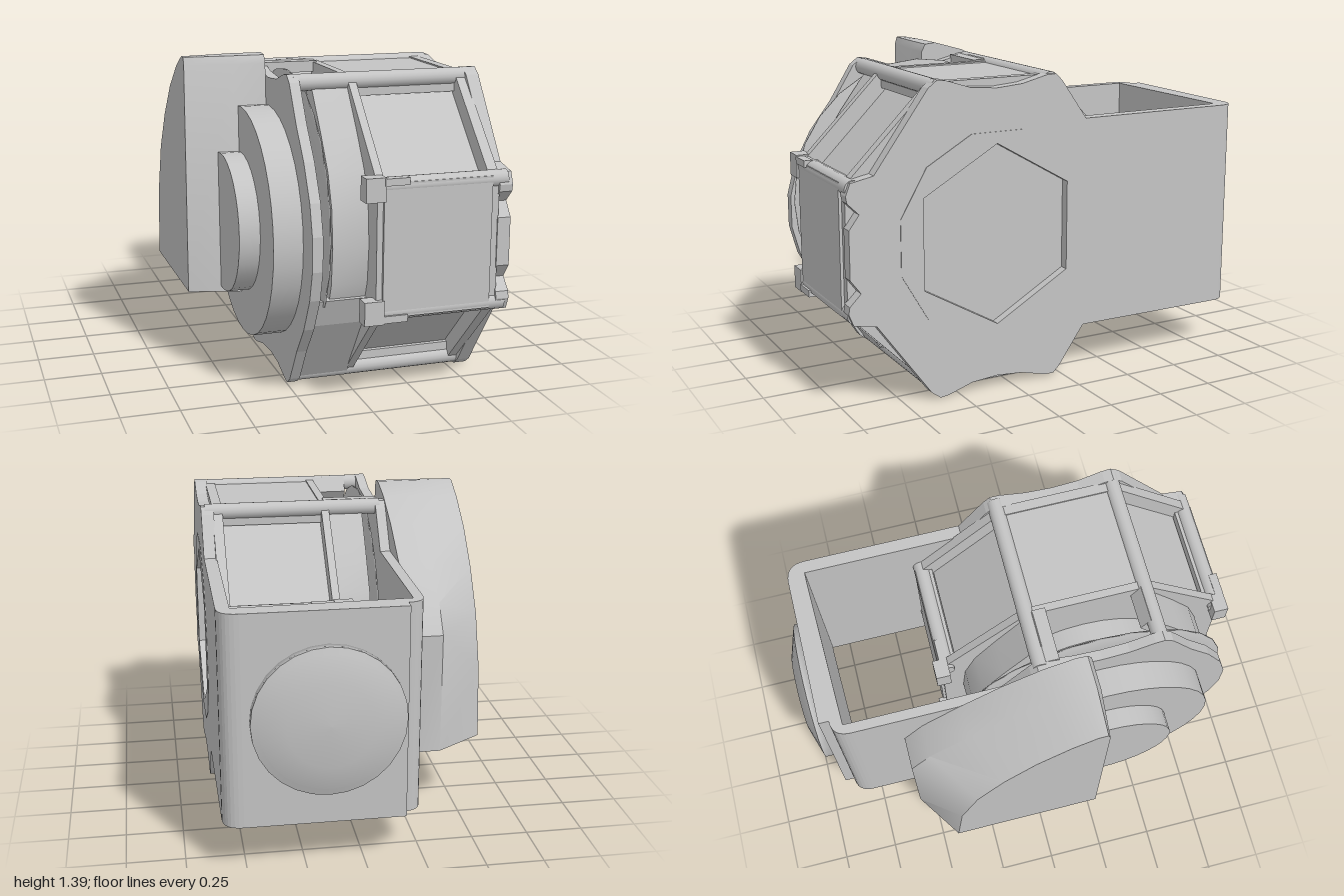
import * as THREE from 'three';
import { toCreasedNormals } from 'three/addons/utils/BufferGeometryUtils.js';

const CY = 0.675, CZ = 0.32; // drum axis

export function createModel() {
  const root = new THREE.Group();
  root.name = 'reelHousing';
  const grey = new THREE.MeshStandardMaterial({ color: 0xc4c4c4 });
  grey.name = 'plain grey';

  const add = (name, geo, parent = root) => {
    const m = new THREE.Mesh(geo, grey);
    m.name = name;
    parent.add(m);
  };
  const vectors = pts => pts.map(p => new THREE.Vector2(p[0], p[1]));
  // profile in (z, y), thickened from x0 to x1
  const sidePlate = (pts, x0, x1, hole) => {
    const shape = new THREE.Shape(vectors(pts));
    if (hole) shape.holes.push(new THREE.Path(vectors(hole)));
    const g = new THREE.ExtrudeGeometry(shape, { depth: x1 - x0, bevelEnabled: false });
    return g.rotateY(-Math.PI / 2).translate(x1, 0, 0);
  };
  // cylinder lying along x, on the drum axis by default
  const disc = (r, x0, x1, n, y = CY, z = CZ, start = 0) =>
    new THREE.CylinderGeometry(r, r, x1 - x0, n, 1, false, start)
      .rotateZ(Math.PI / 2).translate((x0 + x1) / 2, y, z);
  const box = (x0, x1, y0, y1, z0, z1) =>
    new THREE.BoxGeometry(x1 - x0, y1 - y0, z1 - z0)
      .translate((x0 + x1) / 2, (y0 + y1) / 2, (z0 + z1) / 2);
  const polygon = (r, n, start) => Array.from({ length: n }, (_, i) => {
    const a = start + i * Math.PI * 2 / n;
    return [CZ + r * Math.cos(a), CY + r * Math.sin(a)];
  });
  const mirrored = half => [...half, ...half.slice().reverse().map(([z, y]) => [z, 1.345 - y])];

  // side plates: the right one is rounded at the front, the left one is lobed
  const lower = [[-0.11, 0.21], [0.01, 0.04], [0.04, 0.01], [0.08, 0.01], [0.2, 0.04], [0.32, 0.05],
    [0.44, 0.04], [0.55, 0.005], [0.59, 0], [0.63, 0.03]];
  add('rightPlate', sidePlate(mirrored([...lower, [0.73, 0.19], [0.83, 0.32], [0.91, 0.47], [0.945, 0.6]]),
    -0.245, -0.2));
  const window6 = polygon(0.39, 6, Math.PI / 2);
  add('leftPlate', sidePlate(mirrored([...lower, [0.87, 0.36], [0.97, 0.38], [0.99, 0.43], [0.985, 0.46],
    [0.935, 0.51], [0.98, 0.57]]), 0.54, 0.597, window6));
  add('windowFloor', sidePlate(polygon(0.42, 6, Math.PI / 2), 0.53, 0.56));
  add('windowRim', sidePlate(polygon(0.455, 12, Math.PI / 12), 0.597, 0.6, window6));

  // bracket: U-shaped band in plan, drawn in (x, -z)
  const u = new THREE.Shape();
  u.moveTo(0.597, 0.11);
  u.lineTo(0.597, 0.82);
  u.quadraticCurveTo(0.597, 0.91, 0.51, 0.91);
  u.lineTo(-0.17, 0.91);
  u.lineTo(-0.17, 0.865);
  u.quadraticCurveTo(-0.245, 0.865, -0.245, 0.78);
  u.lineTo(-0.245, 0.11);
  u.lineTo(-0.2, 0.11);
  u.lineTo(-0.2, 0.81);
  u.lineTo(0.49, 0.83);
  u.lineTo(0.54, 0.83);
  u.lineTo(0.54, 0.11);
  u.closePath();
  add('bracket', new THREE.ExtrudeGeometry(u, { depth: 0.925, bevelEnabled: false, curveSegments: 8 })
    .rotateX(-Math.PI / 2).translate(0, 0.21, 0));

  // domed knob on the back
  const knob = new THREE.LatheGeometry(vectors([[0, 0], [0.32, 0], [0.32, 0.05], [0.32, 0.05],
    [0.29, 0.06], [0.29, 0.06], [0.18, 0.095], [0, 0.1]]), 28);
  add('backKnob', knob.rotateX(-Math.PI / 2).translate(0.16, CY, -0.9));

  // octagonal drum with end flanges and a central boss
  const drum = new THREE.Group();
  drum.name = 'drum';
  root.add(drum);
  const octagon = (r, x0, x1) => {
    const g = disc(r, x0, x1, 8, CY, CZ, Math.PI / 8).toNonIndexed();
    g.computeVertexNormals();
    return g;
  };
  add('drumCore', octagon(0.63, 0.02, 0.54), drum);
  add('innerFlange', octagon(0.708, 0.015, 0.05), drum);
  add('outerFlange', octagon(0.708, 0.5, 0.545), drum);
  add('drumBoss', disc(0.4, -0.07, 0.02, 28), drum);

  // raised panels; octants count from the front over the top to the back
  for (const [octant, reach] of [[0, 0.667], [2, 0.648], [4, 0.667], [5, 0.645], [6, 0.645]]) {
    add('facePanel', new THREE.BoxGeometry(0.47, 0.56, 0.08).translate(0.275, 0, reach - 0.04)
      .rotateX(-octant * Math.PI / 4).translate(0, CY, CZ), drum);
  }
  // rods along all corners, the upper and lower ones reaching the right plate
  for (let i = 0; i < 8; i++) {
    const a = (i + 0.5) * Math.PI / 4;
    const z = CZ + 0.685 * Math.cos(a), y = CY + 0.685 * Math.sin(a);
    const long = Math.abs(Math.sin(a)) > 0.7;
    add('cornerRod', disc(0.036, long ? -0.22 : 0, 0.58, 16, y, z), drum);
  }
  // bridges beside the rear upper and lower rods
  for (const s of [-1, 1]) {
    const y = CY + s * 0.635;
    add('rodBridge', box(-0.21, 0.03, y - 0.025, y + 0.025, 0.04, 0.14), drum);
  }

  // clips at the rod ends, front and back, top and bottom
  for (const s of [-1, 1]) for (const e of [-1, 1]) {
    const y = CY + s * 0.255, z = CZ + e * 0.65;
    add('clip', box(-0.04, 0.045, y - 0.05, y + 0.05, z - 0.04, z + 0.025), drum);
    add('clipTongue', box(0.04, 0.145, y + s * 0.03 - 0.015, y + s * 0.03 + 0.015, z - 0.01, z + 0.027), drum);
  }

  // C-shaped walls beside the drum, open above and below
  const outerC = [[0.24, -0.665], [0.4, -0.45], [0.5, -0.3], [0.55, -0.16], [0.565, 0],
    [0.55, 0.16], [0.5, 0.3], [0.4, 0.45], [0.24, 0.665]];
  const innerC = [[0.2, 0.6], [0.33, 0.4], [0.43, 0.25], [0.47, 0], [0.43, -0.25], [0.33, -0.4], [0.2, -0.6]];
  for (const s of [1, -1]) {
    const pts = [...outerC, ...innerC].map(([z, y]) => [CZ + s * z, CY + y]);
    add('sideWall', toCreasedNormals(sidePlate(pts, -0.14, 0.02), 0.5), drum);
  }
  // lower front skirt reaching the right plate
  add('lowerSkirt', sidePlate([[0.56, 0.03], [0.6, 0.01], [0.82, 0.33], [0.87, 0.45], [0.81, 0.45]], -0.2, 0.02), drum);

  // thin tapered washer, slightly high on the axis
  const washer = new THREE.LatheGeometry(vectors([[0.45, -0.03], [0.61, -0.004], [0.61, 0.004],
    [0.45, 0.03], [0.45, -0.03]]), 28);
  add('taperedWasher', washer.rotateZ(Math.PI / 2).translate(-0.168, CY + 0.045, CZ + 0.01));

  // stepped cap on the outer side
  add('largeCap', disc(0.505, -0.37, -0.24, 36, CY - 0.005));
  add('smallCap', disc(0.305, -0.46, -0.36, 32, CY - 0.005));

  // side cover lofted through three outlines in (z, y)
  const base = [[0.31, 0.34], [-0.57, 0.34], [-0.57, 0.88], [-0.48, 1.0], [-0.3, 1.14], [-0.12, 1.26],
    [0.06, 1.35], [0.2, 1.39], [0.25, 1.385], [0.27, 1.35]];
  const face = [[0.25, 0.34], [-0.43, 0.34], [-0.4, 0.66], [-0.32, 0.89], [-0.2, 1.07], [-0.06, 1.22],
    [0.09, 1.33], [0.2, 1.385], [0.24, 1.385], [0.25, 1.35]];
  const loops = [[-0.245, base], [-0.39, base], [-0.6, face]];
  const pos = [];
  const put = (k, i) => pos.push(loops[k][0], loops[k][1][i][1], loops[k][1][i][0]);
  const n = base.length;
  for (let k = 0; k < 2; k++) for (let i = 0; i < n; i++) {
    const j = (i + 1) % n;
    put(k, i); put(k + 1, j); put(k, j);
    put(k, i); put(k + 1, i); put(k + 1, j);
  }
  for (let i = 1; i < n - 1; i++) {
    put(2, 0); put(2, i + 1); put(2, i);
    put(0, 0); put(0, i); put(0, i + 1);
  }
  const cover = new THREE.BufferGeometry();
  cover.setAttribute('position', new THREE.Float32BufferAttribute(pos, 3));
  add('sideCover', toCreasedNormals(cover, 0.6));

  return root;
}
